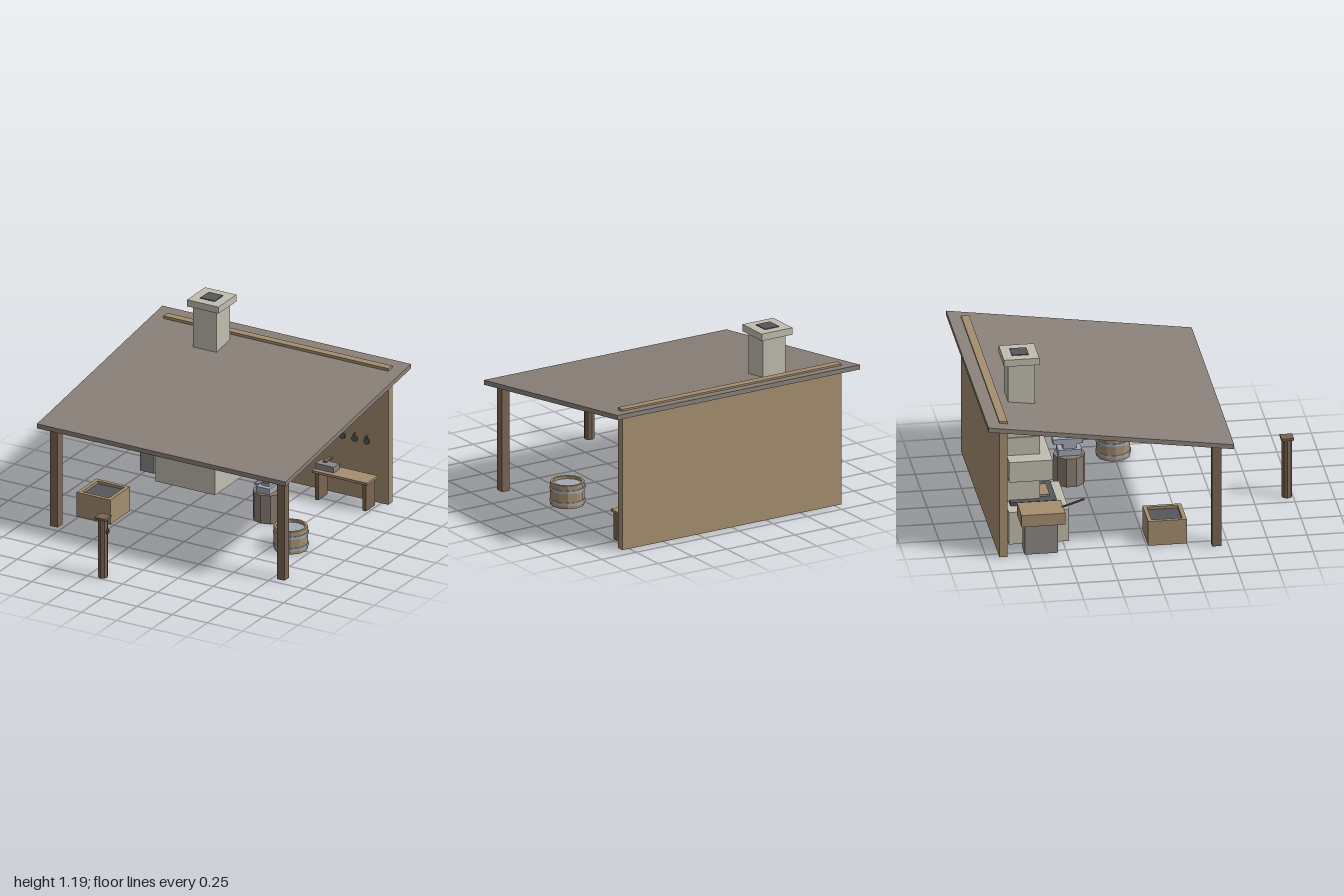
import * as THREE from 'three';

const mat = (name, color) => {
  const m = new THREE.MeshStandardMaterial({ color });
  m.name = name;
  return m;
};

export function createModel() {
  const M = {
    roof: mat('roofSlate', 0x8a8179),
    tan: mat('paleWood', 0xa58e70),
    brown: mat('darkWood', 0x7b6553),
    stone: mat('paleStone', 0xc1bdaf),
    grey: mat('greyStone', 0x8c8884),
    stump: mat('stumpWood', 0x8a7d72),
    iron: mat('darkIron', 0x55575a),
    steel: mat('steel', 0xa2aab4),
  };
  for (const k of ['stump', 'tan', 'brown', 'steel', 'iron']) M[k].flatShading = true;

  const root = new THREE.Group();
  root.name = 'smithy';
  const group = (name) => {
    const g = new THREE.Group();
    g.name = name;
    root.add(g);
    return g;
  };
  const add = (parent, name, geo, m) => {
    const mesh = new THREE.Mesh(geo, m);
    mesh.name = name;
    parent.add(mesh);
    return mesh;
  };
  // Box given by its extents along each axis
  const box = (parent, name, m, x0, x1, y0, y1, z0, z1) => {
    const geo = new THREE.BoxGeometry(x1 - x0, y1 - y0, z1 - z0);
    geo.translate((x0 + x1) / 2, (y0 + y1) / 2, (z0 + z1) / 2);
    return add(parent, name, geo, m);
  };
  // Upright prism or cylinder
  const drum = (parent, name, m, x, z, y0, y1, r, n) => {
    const geo = new THREE.CylinderGeometry(r, r, y1 - y0, n);
    geo.translate(x, (y0 + y1) / 2, z);
    return add(parent, name, geo, m);
  };
  // Round bar between two points
  const bar = (parent, name, m, a, b, ra, rb, n = 8) => {
    const A = new THREE.Vector3(...a), B = new THREE.Vector3(...b);
    const mesh = add(parent, name, new THREE.CylinderGeometry(rb, ra, A.distanceTo(B), n), m);
    mesh.position.copy(A).add(B).multiplyScalar(0.5);
    mesh.quaternion.setFromUnitVectors(new THREE.Vector3(0, 1, 0), B.sub(A).normalize());
    return mesh;
  };

  // Shed: sloping roof, back wall, two front posts
  const shed = group('shed');
  const roofGeo = new THREE.BoxGeometry(1.77, 0.03, 1.527);
  const p = roofGeo.attributes.position;
  for (let i = 0; i < p.count; i++) p.setY(i, p.getY(i) - p.getZ(i) * 0.1405);
  roofGeo.computeVertexNormals();
  roofGeo.translate(0, 0.793, -0.2365);
  add(shed, 'roof', roofGeo, M.roof);
  box(shed, 'backWall', M.tan, -0.8, 0.8, 0, 0.915, -0.92, -0.87);
  for (const s of [-1, 1]) {
    box(shed, 'frontPost', M.brown, s * 0.807 - 0.027, s * 0.807 + 0.027, 0, 0.69, 0.397, 0.455);
  }

  // Forge hearth, hood and stepped chimney
  const forge = group('forge');
  box(forge, 'hearth', M.stone, -0.62, -0.195, 0, 0.215, -0.835, -0.46);
  box(forge, 'firePan', M.iron, -0.525, -0.23, 0.213, 0.237, -0.81, -0.52);
  box(forge, 'fireBed', M.tan, -0.46, -0.3, 0.235, 0.25, -0.72, -0.557);
  box(forge, 'chimneyBreast', M.stone, -0.485, -0.27, 0.23, 0.655, -0.838, -0.62);
  box(forge, 'hood', M.stone, -0.59, -0.165, 0.403, 0.538, -0.828, -0.557);
  box(forge, 'chimneyStep', M.stone, -0.476, -0.28, 0.65, 0.75, -0.828, -0.637);
  box(forge, 'chimneyStack', M.stone, -0.46, -0.295, 0.74, 1.145, -0.815, -0.648);
  box(forge, 'chimneyCap', M.stone, -0.49, -0.266, 1.14, 1.185, -0.845, -0.625);
  box(forge, 'flueOpening', M.iron, -0.43, -0.327, 1.182, 1.19, -0.787, -0.683);

  // Bellows on a stone block
  const bellows = group('bellows');
  box(bellows, 'bellowsBlock', M.grey, -0.785, -0.685, 0, 0.217, -0.76, -0.555);
  box(bellows, 'bellowsBody', M.tan, -0.852, -0.655, 0.217, 0.295, -0.79, -0.517);
  bar(bellows, 'bellowsNozzle', M.steel, [-0.66, 0.262, -0.655], [-0.59, 0.245, -0.655], 0.014, 0.009);
  bar(bellows, 'bellowsHandle', M.brown, [-0.753, 0.29, -0.53], [-0.753, 0.337, -0.385], 0.007, 0.007);

  // Open coal crate
  const crate = group('coalCrate');
  box(crate, 'crateFloor', M.tan, -0.765, -0.525, 0, 0.02, 0.01, 0.25);
  for (const s of [0, 1]) {
    const x = -0.765 + s * 0.215, z = 0.01 + s * 0.215;
    box(crate, 'crateSide', M.tan, x, x + 0.025, 0, 0.163, 0.01, 0.25);
    box(crate, 'crateEnd', M.tan, -0.74, -0.55, 0, 0.163, z, z + 0.025);
  }
  box(crate, 'coal', M.iron, -0.74, -0.55, 0.02, 0.145, 0.035, 0.225);

  // Anvil on a stump
  const anvil = group('anvil');
  drum(anvil, 'stump', M.stump, 0.265, -0.328, 0, 0.19, 0.1, 10);
  box(anvil, 'anvilFoot', M.steel, 0.218, 0.312, 0.19, 0.23, -0.402, -0.255);
  box(anvil, 'anvilWaist', M.steel, 0.237, 0.293, 0.23, 0.267, -0.37, -0.286);
  box(anvil, 'anvilTop', M.steel, 0.23, 0.3, 0.265, 0.298, -0.433, -0.248);
  bar(anvil, 'anvilHorn', M.steel, [0.265, 0.282, -0.25], [0.265, 0.29, -0.165], 0.016, 0.01);

  // Quenching barrel: hollow staves, two hoops, water
  const barrel = group('barrel');
  const ring = (r, ri, y0, y1) => new THREE.LatheGeometry(
    [[ri, y0], [r, y0], [r, y1], [ri, y1], [ri, y0]].map((q) => new THREE.Vector2(...q)), 12)
    .translate(0.613, 0, -0.002);
  add(barrel, 'staves', ring(0.106, 0.09, 0, 0.15), M.tan);
  drum(barrel, 'barrelBottom', M.tan, 0.613, -0.002, 0, 0.015, 0.092, 12).rotation.y = 0;
  drum(barrel, 'water', M.steel, 0.613, -0.002, 0.015, 0.132, 0.092, 12);
  for (const y of [0.03, 0.108]) {
    add(barrel, 'hoop', ring(0.111, 0.1, y - 0.01, y + 0.01), M.steel);
  }

  // Workbench with a tool block and hammer
  const bench = group('workbench');
  box(bench, 'benchTop', M.tan, 0.355, 0.745, 0.18, 0.196, -0.837, -0.703);
  for (const x of [0.37, 0.708]) box(bench, 'benchLeg', M.brown, x, x + 0.024, 0, 0.18, -0.826, -0.715);
  box(bench, 'toolBlock', M.grey, 0.36, 0.49, 0.196, 0.234, -0.805, -0.735);
  box(bench, 'hammerHandle', M.brown, 0.413, 0.438, 0.253, 0.262, -0.812, -0.733);

  // Row of hanging ladles on the wall
  const rack = group('hangingTools');
  for (let i = 0; i < 8; i++) {
    const x = 0.052 + i * 0.0858;
    bar(rack, 'ladlePan', M.iron, [x, 0.4, -0.861], [x, 0.4, -0.851], 0.021, 0.021, 10);
    bar(rack, 'ladleStem', M.iron, [x, 0.415, -0.856], [x, 0.436, -0.856], 0.005, 0.005, 6);
    bar(rack, 'ladlePeg', M.iron, [x, 0.43, -0.872], [x, 0.43, -0.838], 0.004, 0.004, 6);
  }

  // Hitching post with an iron ring
  const hitch = group('hitchingPost');
  drum(hitch, 'hitchPost', M.brown, -0.162, 0.962, 0, 0.392, 0.032, 8);
  box(hitch, 'hitchCap', M.brown, -0.2, -0.124, 0.39, 0.405, 0.923, 1);
  const tie = add(hitch, 'tieRing', new THREE.TorusGeometry(0.013, 0.005, 6, 12), M.iron);
  tie.rotation.y = Math.PI / 2;
  tie.position.set(-0.127, 0.31, 0.962);

  return root;
}
